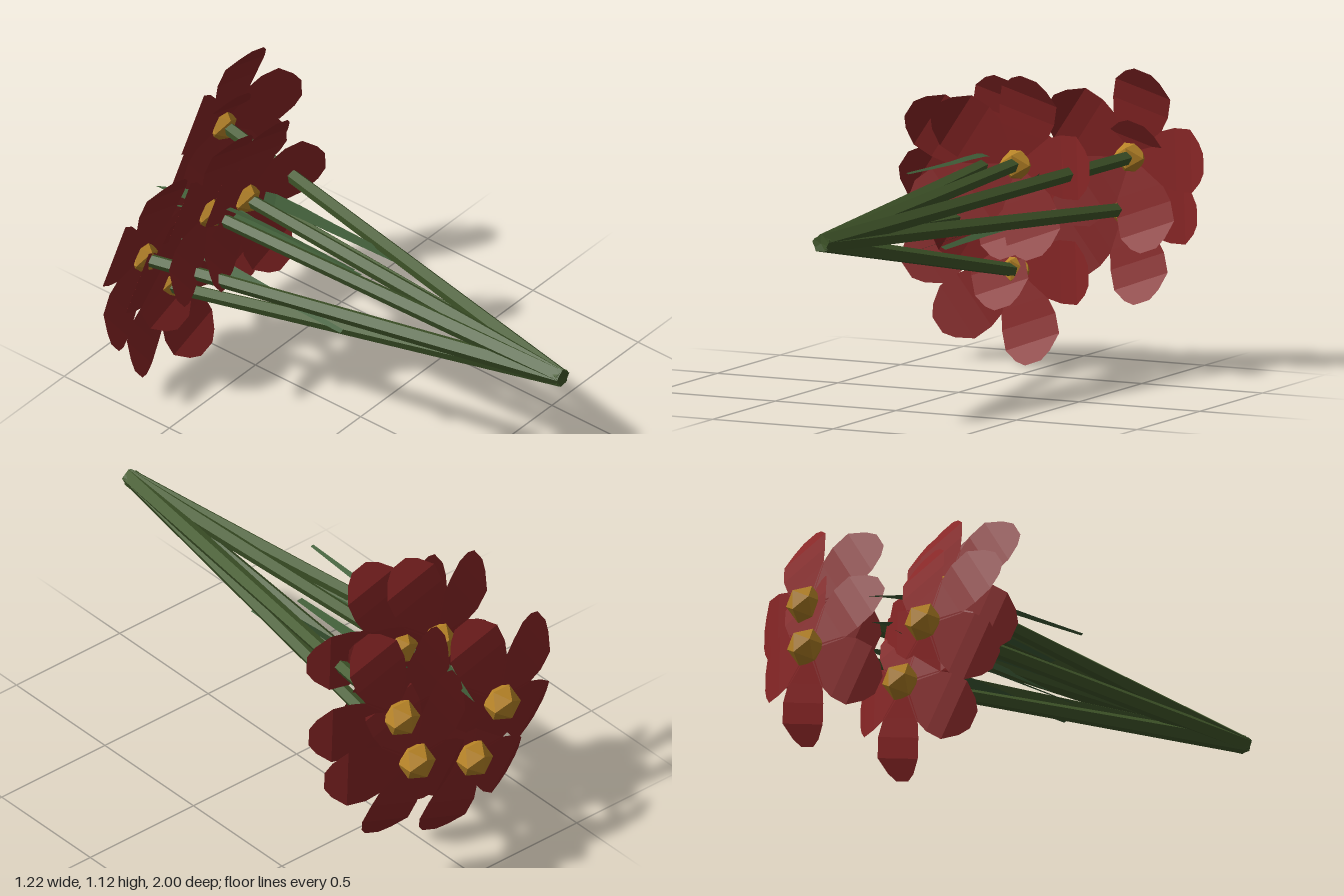
import * as THREE from 'three';

const petalRed = new THREE.MeshStandardMaterial({ color: 0x8a2626, flatShading: true, side: THREE.DoubleSide });
const stemGreen = new THREE.MeshStandardMaterial({ color: 0x435a2c, flatShading: true });
const leafGreen = new THREE.MeshStandardMaterial({ color: 0x42603a, flatShading: true, side: THREE.DoubleSide });
const pollenGold = new THREE.MeshStandardMaterial({ color: 0xb98527, flatShading: true });
petalRed.name = 'petal red';
stemGreen.name = 'stem green';
leafGreen.name = 'leaf green';
pollenGold.name = 'pollen gold';

const V = (p) => new THREE.Vector3(...p);

function mesh(name, geometry, material) {
  const m = new THREE.Mesh(geometry, material);
  m.name = name;
  return m;
}

// Open strip joining pairs of left and right edge points
function strip(pairs) {
  const pos = [], index = [];
  pairs.forEach(([a, b], i) => {
    pos.push(...a, ...b);
    if (i) {
      const k = 2 * i;
      index.push(k - 2, k - 1, k + 1, k - 2, k + 1, k);
    }
  });
  const g = new THREE.BufferGeometry();
  g.setAttribute('position', new THREE.Float32BufferAttribute(pos, 3));
  g.setIndex(index);
  g.computeVertexNormals();
  return g;
}

// Petal sections: distance from hub, half width, droop toward the stem
const petalSections = [
  [0.03, 0.03, 0], [0.13, 0.1, 0.015], [0.2, 0.118, 0.025],
  [0.275, 0.118, 0.045], [0.325, 0.075, 0.075], [0.35, 0.035, 0.09],
];
const petalGeometry = strip(petalSections.map(([r, w, z]) => [[r, w, z], [r, -w, z]]));
const heartGeometry = new THREE.IcosahedronGeometry(0.073, 0);

function flower(position) {
  const g = new THREE.Group();
  g.name = 'flower';
  for (let i = 0; i < 5; i++) {
    const petal = mesh('petal', petalGeometry, petalRed);
    petal.rotation.z = THREE.MathUtils.degToRad(2 + 72 * i);
    g.add(petal);
  }
  const heart = mesh('flowerHeart', heartGeometry, pollenGold);
  heart.position.z = -0.022;
  g.add(heart);
  g.position.copy(position);
  return g;
}

// Five-sided stem from the gathered end to a flower
function stem(from, to) {
  const d = to.clone().sub(from);
  const m = mesh('stem', new THREE.CylinderGeometry(0.026, 0.035, d.length(), 5), stemGreen);
  m.position.copy(from).addScaledVector(d, 0.5);
  m.quaternion.setFromUnitVectors(new THREE.Vector3(0, 1, 0), d.normalize());
  return m;
}

// Slender blade along a curve, broad in the middle and pointed at the end
function leaf(points, across, width) {
  const curve = new THREE.CatmullRomCurve3(points.map(V));
  const side = V(across).normalize();
  const pairs = [];
  for (let i = 0; i <= 8; i++) {
    const t = i / 8;
    const c = curve.getPoint(t);
    const w = width * (t < 0.7 ? 0.35 + 0.93 * t : (1 - t) / 0.3 + 0.01);
    pairs.push([c.clone().addScaledVector(side, w).toArray(), c.clone().addScaledVector(side, -w).toArray()]);
  }
  return mesh('leaf', strip(pairs), leafGreen);
}

export function createModel() {
  const model = new THREE.Group();
  model.name = 'bouquet';

  // Flowers and their stems
  const gathered = V([-0.05, 0.7, 1]);
  const hubs = [
    [0.26, 0.79, -0.87], [0.215, 0.59, -0.905], [-0.17, 0.355, -0.78],
    [-0.3, 0.55, -0.785], [-0.17, 0.775, -0.58], [-0.03, 0.79, -0.52],
  ];
  for (const p of hubs) {
    const hub = V(p);
    model.add(flower(hub));
    model.add(stem(gathered, hub.clone().add(V([0, 0, 0.03]))));
  }

  // Leaves among the stems
  model.add(
    leaf([[-0.09, 0.72, 0.02], [-0.1, 0.74, -0.3], [-0.1, 0.76, -0.65], [-0.09, 0.7, -0.9]], [1, 0.1, 0], 0.04),
    leaf([[-0.03, 0.69, 0.02], [-0.03, 0.69, -0.3], [-0.04, 0.68, -0.6], [-0.06, 0.62, -0.85]], [1, -0.1, 0], 0.035),
    leaf([[0.1, 0.72, 0.18], [0.09, 0.73, -0.2], [0.07, 0.74, -0.5], [-0.01, 0.75, -0.64]], [0.3, 1, 0], 0.03),
    leaf([[0.04, 0.58, 0.2], [0.06, 0.6, -0.2], [0.06, 0.6, -0.55], [0.05, 0.57, -0.8]], [1, -0.5, 0], 0.03),
    leaf([[-0.16, 0.83, 0.1], [-0.15, 0.825, -0.2], [-0.15, 0.82, -0.5], [-0.14, 0.78, -0.7]], [1, -0.3, 0], 0.018),
    leaf([[-0.17, 0.53, 0.05], [-0.16, 0.54, -0.3], [-0.15, 0.55, -0.6], [-0.13, 0.58, -0.8]], [1, 0.4, 0], 0.025),
  );
  return model;
}
